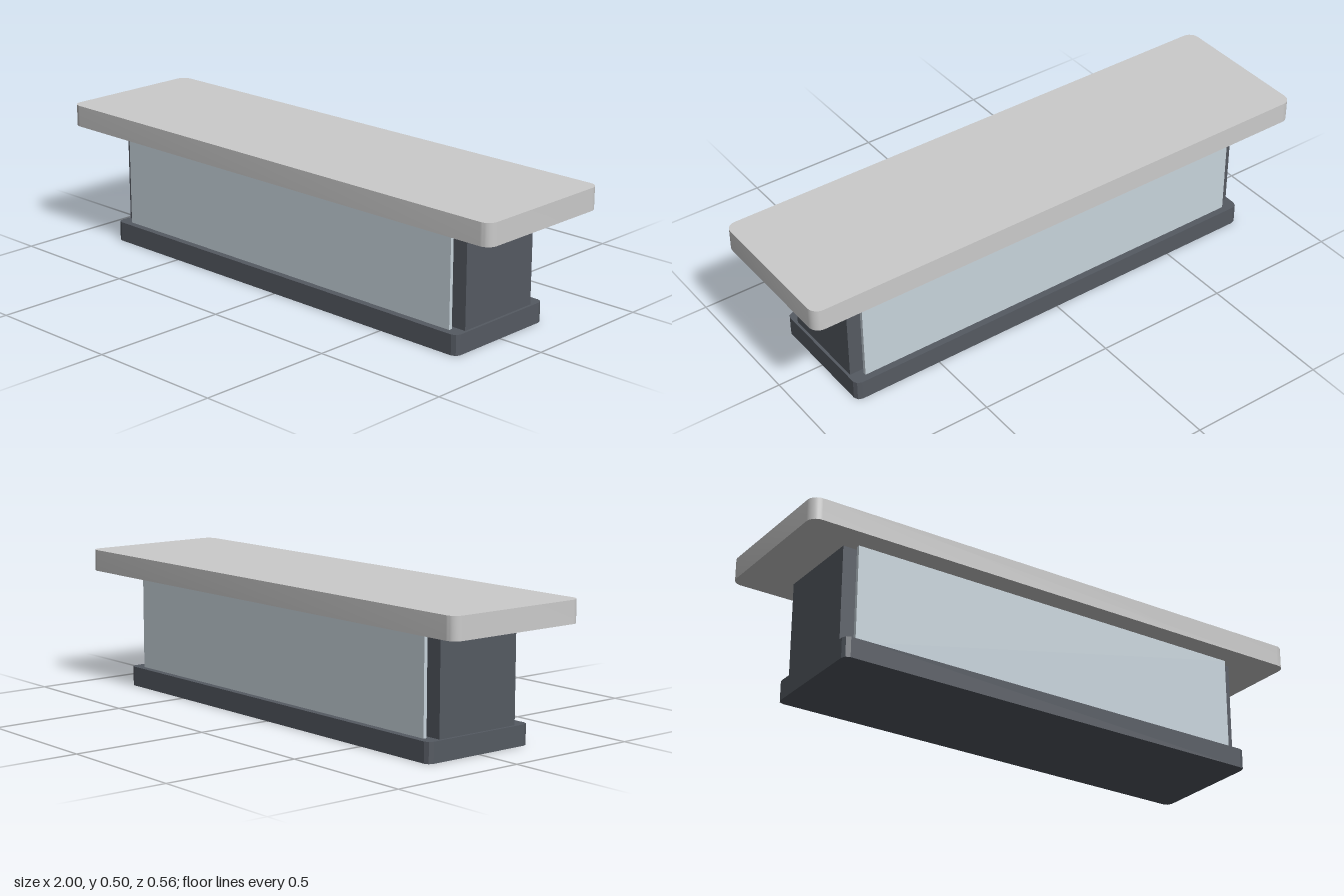
import * as THREE from 'three';
import { toCreasedNormals } from 'three/addons/utils/BufferGeometryUtils.js';

const paint = (color) => new THREE.MeshStandardMaterial({ color });

// Horizontal slab with rounded (or, with one segment, chamfered) corners
function slab(halfX, halfZ, y0, y1, r, segments) {
  const s = new THREE.Shape();
  s.moveTo(halfX, -halfZ + r);
  s.lineTo(halfX, halfZ - r);
  s.absarc(halfX - r, halfZ - r, r, 0, Math.PI / 2, false);
  s.absarc(-halfX + r, halfZ - r, r, Math.PI / 2, Math.PI, false);
  s.absarc(-halfX + r, -halfZ + r, r, Math.PI, Math.PI * 1.5, false);
  s.absarc(halfX - r, -halfZ + r, r, Math.PI * 1.5, Math.PI * 2, false);
  const g = new THREE.ExtrudeGeometry(s, { depth: y1 - y0, bevelEnabled: false, curveSegments: segments });
  g.rotateX(-Math.PI / 2);
  g.translate(0, y0, 0);
  return g;
}

export function createModel() {
  const group = new THREE.Group();
  const dark = paint(0x555a62);
  const add = (name, geometry, material) => {
    const mesh = new THREE.Mesh(geometry, material);
    mesh.name = name;
    group.add(mesh);
    return mesh;
  };

  const baseTop = 0.072, underside = 0.423;
  const height = underside - baseTop, midY = (underside + baseTop) / 2;

  // Plinth with chamfered corners
  add('plinth', slab(0.83, 0.222, 0, baseTop, 0.022, 1), dark);

  // Counter body
  add('body', new THREE.BoxGeometry(1.64, height, 0.334), dark).position.y = midY;

  // Pale panels standing just clear of the body, front and back
  const pale = paint(0xc8d4dc);
  for (const [name, side] of [['frontPanel', 1], ['backPanel', -1]]) {
    add(name, new THREE.BoxGeometry(1.556, height, 0.013), pale).position.set(0, midY, side * 0.1905);
  }

  // Overhanging worktop with rounded corners
  add('worktop', toCreasedNormals(slab(1, 0.278, underside, 0.502, 0.037, 4), Math.PI / 5), paint(0xcccccc));

  return group;
}
